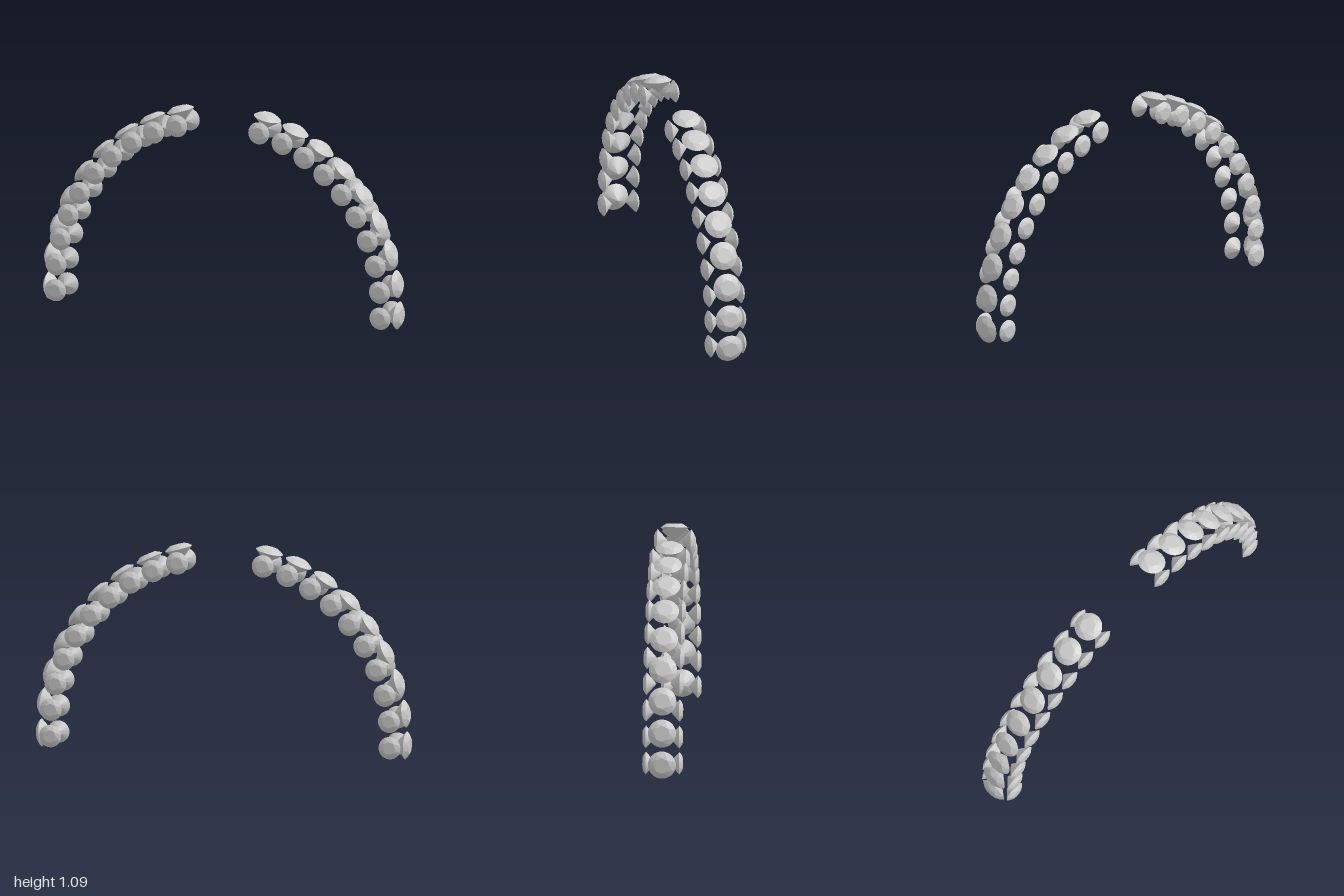
import * as THREE from 'three';
import { ConvexGeometry } from 'three/addons/geometries/ConvexGeometry.js';

const CENTER_Y = 0.118;
const rad = THREE.MathUtils.degToRad;

// Brilliant-cut stone: girdle on y = 0, table towards +y, culet towards -y
function gemGeometry(radius) {
  const pts = [];
  const ring = (n, r, y, phase = 0) => {
    for (let i = 0; i < n; i++) {
      const a = (i + phase) / n * Math.PI * 2;
      pts.push(new THREE.Vector3(r * Math.cos(a), y, r * Math.sin(a)).multiplyScalar(radius));
    }
  };
  ring(8, 0.57, 0.29);          // table
  ring(8, 0.8, 0.165, 0.5);     // crown facets
  ring(32, 1, 0);               // girdle
  ring(8, 0.3, -0.63, 0.5);     // pavilion facets
  pts.push(new THREE.Vector3(0, -0.86 * radius, 0)); // culet
  return new ConvexGeometry(pts);
}

export function createModel() {
  const model = new THREE.Group();
  model.name = 'stoneArch';
  const material = new THREE.MeshStandardMaterial({ color: 0xcccccc, flatShading: true });
  const largeGem = gemGeometry(0.073);
  const smallGem = gemGeometry(0.059);

  for (const [side, sign] of [['left', 1], ['right', -1]]) {
    const half = new THREE.Group();
    half.name = side + 'Half';
    model.add(half);

    const place = (name, geometry, r, degrees, z) => {
      const gem = new THREE.Mesh(geometry, material);
      const a = rad(degrees);
      gem.name = name;
      gem.position.set(sign * r * Math.cos(a), CENTER_Y + r * Math.sin(a), z);
      half.add(gem);
      return gem;
    };

    // Large stones facing outwards along the arch
    for (let i = 0; i < 9; i++) {
      const deg = -2.6 + i * 9.77;
      place('outerStone', largeGem, 0.976, deg, 0).rotation.z = sign * rad(deg - 90);
    }

    // Small stones along the front and back faces
    for (let i = 0; i < 10; i++) {
      const deg = -3.1 + i * 8.72;
      place('frontStone', smallGem, 0.909, deg, 0.087).rotation.x = Math.PI / 2;
      place('backStone', smallGem, 0.909, deg, -0.087).rotation.x = -Math.PI / 2;
    }
  }
  return model;
}
